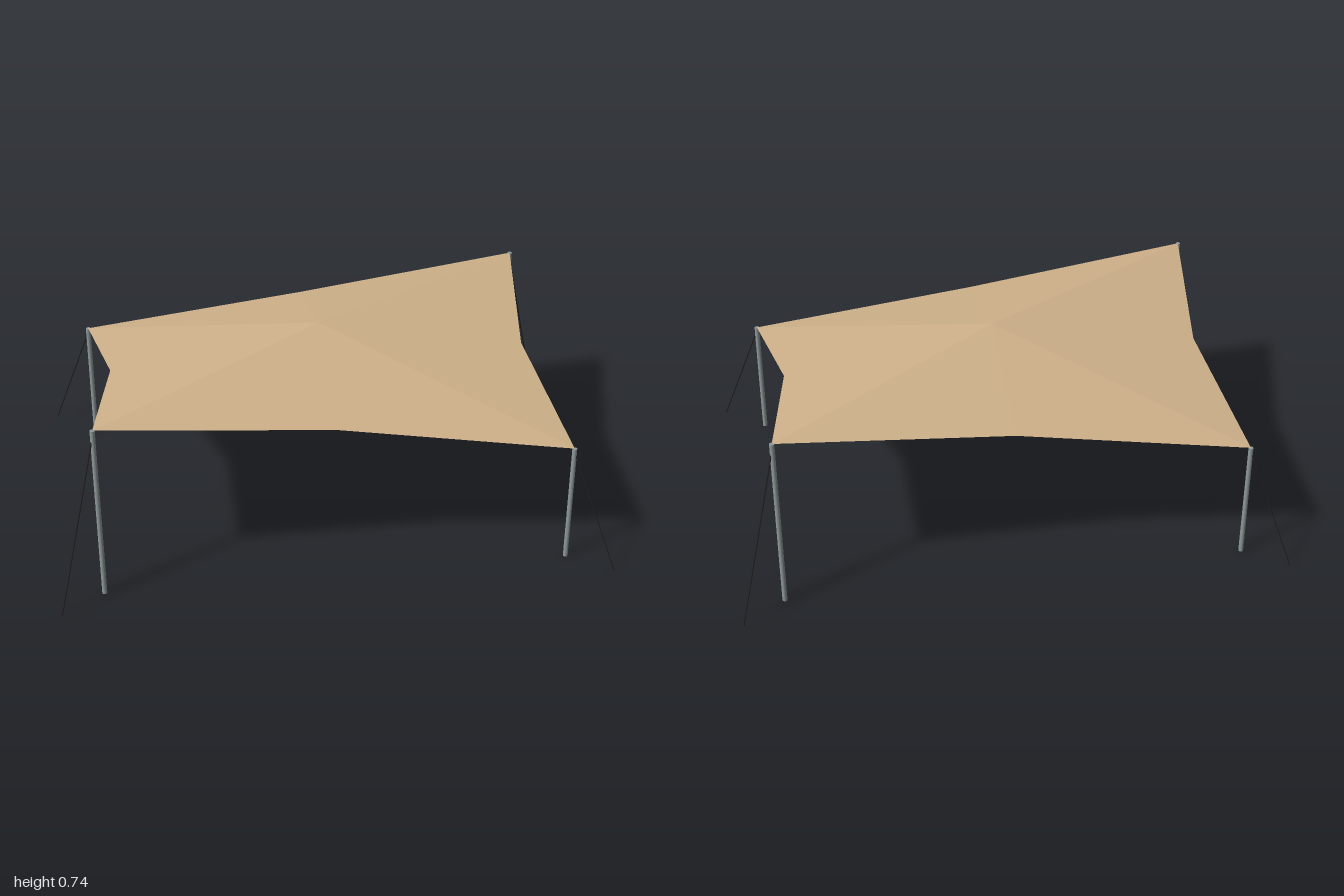
import * as THREE from 'three';

const canvasTan = new THREE.MeshStandardMaterial({ color: 0xd2b48c, side: THREE.DoubleSide, flatShading: true });
canvasTan.name = 'canvasTan';
const poleGrey = new THREE.MeshStandardMaterial({ color: 0x8f999a });
poleGrey.name = 'poleGrey';
const ropeBlack = new THREE.MeshStandardMaterial({ color: 0x222222 });
ropeBlack.name = 'ropeBlack';

const HALF_X = 0.845, HALF_Z = 0.55;
const HIGH = 0.69, LOW = 0.47, MID = 0.595, PEAK = 0.74;

// Two opposite corners are high, the other two low
const cornerHeight = (sx, sz) => (sx * sz < 0 ? HIGH : LOW);

// Round bar between two points
function bar(name, from, to, radius, sides, material) {
  const dir = to.clone().sub(from);
  const mesh = new THREE.Mesh(new THREE.CylinderGeometry(radius, radius, dir.length(), sides), material);
  mesh.position.copy(from).add(to).multiplyScalar(0.5);
  mesh.quaternion.setFromUnitVectors(new THREE.Vector3(0, 1, 0), dir.normalize());
  mesh.name = name;
  return mesh;
}

// Tarp: a fan from the peak to corners and drawn-in edge midpoints
function createCanopy() {
  const ring = [[1, 1], [1, 0], [1, -1], [0, -1], [-1, -1], [-1, 0], [-1, 1], [0, 1]];
  const points = [0, PEAK, 0];
  const index = [];
  ring.forEach(([sx, sz], i) => {
    if (sx && sz) points.push(sx * HALF_X, cornerHeight(sx, sz), sz * HALF_Z);
    else points.push(sx * 0.77, MID, sz * 0.51);
    index.push(0, i + 1, ((i + 1) % 8) + 1);
  });
  const indexed = new THREE.BufferGeometry();
  indexed.setAttribute('position', new THREE.Float32BufferAttribute(points, 3));
  indexed.setIndex(index);
  const geometry = indexed.toNonIndexed();
  geometry.computeVertexNormals();
  const mesh = new THREE.Mesh(geometry, canvasTan);
  mesh.name = 'canopy';
  return mesh;
}

export function createModel() {
  const model = new THREE.Group();
  model.name = 'tarpShelter';
  model.add(createCanopy());

  // Corner poles with guy ropes running out to the ground
  for (const sx of [-1, 1]) for (const sz of [-1, 1]) {
    const h = cornerHeight(sx, sz);
    const x = sx * HALF_X, z = sz * HALF_Z;
    model.add(bar('pole', new THREE.Vector3(x, 0, z), new THREE.Vector3(x, h, z), 0.009, 12, poleGrey));
    model.add(bar('guyRope', new THREE.Vector3(x, h * 0.97, z),
      new THREE.Vector3(sx * 0.998, 0.001, sz * 0.665), 0.0025, 6, ropeBlack));
  }
  return model;
}
